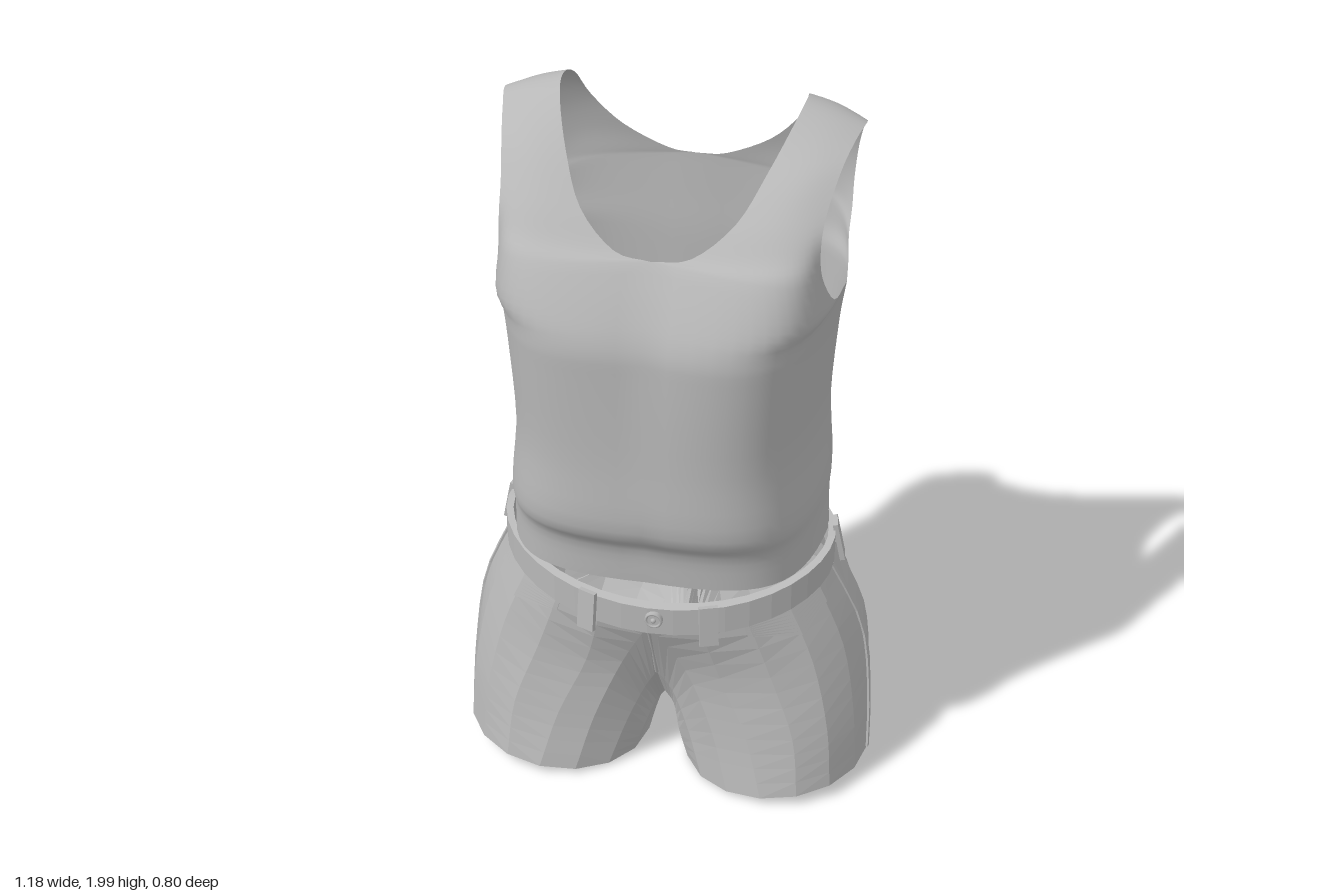
import * as THREE from 'three';
import { mergeGeometries, mergeVertices } from 'three/addons/utils/BufferGeometryUtils.js';

const V = (x, y, z) => new THREE.Vector3(x, y, z);
const cloth = new THREE.MeshStandardMaterial({ color: 0xb8b8b8, side: THREE.DoubleSide });
cloth.name = 'greyCloth';

// Skin a list of point rows; flip reverses the winding
function grid(rows, flip = false) {
  const n = rows[0].length, pos = [], idx = [];
  rows.forEach(r => r.forEach(p => pos.push(p.x, p.y, p.z)));
  for (let i = 0; i < rows.length - 1; i++) for (let j = 0; j < n - 1; j++) {
    const a = i * n + j, b = a + 1, c = a + n, d = c + 1;
    if (flip) idx.push(a, b, c, b, d, c); else idx.push(a, c, b, b, c, d);
  }
  const g = new THREE.BufferGeometry();
  g.setAttribute('position', new THREE.Float32BufferAttribute(pos, 3));
  g.setIndex(idx);
  return g;
}
const mirrorRows = rows => rows.map(r => r.map(p => V(-p.x, p.y, p.z)));
const bothSides = (rows, flip) => mergeGeometries([grid(rows, flip), grid(mirrorRows(rows), !flip)]);
function smooth(g) { const m = mergeVertices(g, 1e-4); m.computeVertexNormals(); return m; }
function flat(g) { const m = g.toNonIndexed(); m.computeVertexNormals(); return m; }
function add(parent, name, geo) {
  const m = new THREE.Mesh(geo, cloth);
  m.name = name;
  parent.add(m);
  return m;
}

// Tank top half: inner edge x y z, corner x z, outer edge x y z, from hem to shoulder
const frontRows = [
  [0, .76, .342, .41, .36, .435, .76, -.02], [0, .87, .352, .41, .37, .43, .87, -.02],
  [0, .955, .398, .41, .42, .43, .95, -.03], [0, 1.15, .388, .39, .42, .418, 1.15, -.04],
  [0, 1.4, .372, .4, .445, .435, 1.4, -.05], [0, 1.5, .36, .41, .45, .45, 1.52, -.06],
  [0, 1.6, .315, .42, .415, .44, 1.545, .08], [0, 1.7, .255, .39, .335, .42, 1.66, .17],
  [.1, 1.712, .24, .35, .26, .415, 1.75, .175], [.2, 1.79, .18, .33, .19, .42, 1.82, .13],
  [.26, 1.89, .08, .36, .09, .44, 1.9, .04], [.305, 1.975, -.04, .39, -.04, .46, 1.94, -.05],
];
// Over the shoulder and down the back
const backRows = [
  [.32, 2, -.13, .4, -.13, .475, 1.95, -.13],
  [.31, 1.97, -.21, .4, -.22, .46, 1.91, -.2], [.28, 1.88, -.265, .36, -.27, .44, 1.82, -.25],
  [.2, 1.79, -.29, .34, -.3, .43, 1.72, -.26], [.08, 1.728, -.3, .37, -.31, .43, 1.64, -.24],
  [0, 1.72, -.3, .39, -.32, .43, 1.58, -.2], [0, 1.6, -.295, .42, -.32, .44, 1.54, -.14],
  [0, 1.5, -.29, .42, -.32, .45, 1.52, -.06], [0, 1.4, -.29, .42, -.32, .435, 1.4, -.05],
  [0, 1.15, -.295, .41, -.32, .418, 1.15, -.04], [0, .93, -.31, .42, -.33, .43, .95, -.03],
  [0, .87, -.26, .41, -.28, .43, .87, -.02], [0, .76, -.21, .4, -.225, .435, .76, -.02],
];

// Smooth path through points, with a sharp turn allowed at each index in breaks
function samplePath(points, breaks, steps) {
  const ends = [0, ...breaks, points.length - 1], out = [points[0]];
  for (let k = 0; k < ends.length - 1; k++) {
    const part = points.slice(ends[k], ends[k + 1] + 1);
    const curve = new THREE.CatmullRomCurve3(part, false, 'catmullrom', .5), n = (part.length - 1) * steps;
    for (let i = 1; i <= n; i++) out.push(curve.getPoint(i / n));
  }
  return out;
}

function tankTopRows() {
  const all = [...frontRows, ...backRows];
  const inner = samplePath(all.map(r => V(r[0], r[1], r[2])), [7, 17], 4);
  const corner = samplePath(all.map(r => V(r[3], r[1] * .6 + r[6] * .4, r[4])), [], 4);
  const outer = samplePath(all.map(r => V(r[5], r[6], r[7])), [5, 19], 4);
  return inner.map((a, i) => new THREE.CubicBezierCurve3(
    a, a.clone().lerp(corner[i], .8), outer[i].clone().lerp(corner[i], .8), outer[i]).getPoints(14));
}

// Waist outline at angle phi (0 = front), h below the band top, pushed out by off
function waist(phi, h, off = 0) {
  const x = (.45 + off) * Math.sin(phi), z = .04 + (.28 + off) * Math.cos(phi);
  return V(x, .772 - (z > 0 ? .56 * z ** 1.5 : .16 * z) - h, z);
}

// Leg rings between waist and hem: front centre, round the outside, then the inner thigh
const hip = [
  [.09, .4, .25], [.19, .4, .264], [.33, .42, .255], [.44, .45, .205], [.51, .46, .12], [.545, .46, .01],
  [.53, .45, -.11], [.47, .46, -.23], [.37, .46, -.335], [.21, .46, -.392], [.08, .44, -.378],
  [.045, .35, -.345], [.03, .22, -.22], [.02, .13, -.02], [.025, .16, .11], [.04, .27, .19],
];
const thigh = [
  [.17, .2, .265], [.27, .21, .284], [.4, .22, .272], [.49, .23, .225], [.55, .24, .14], [.575, .24, .03],
  [.56, .24, -.07], [.49, .24, -.2], [.4, .24, -.285], [.28, .24, -.34], [.17, .22, -.32],
  [.1, .18, -.25], [.06, .13, -.13], [.04, .08, .02], [.05, .1, .15], [.09, .15, .21],
];
const crotch = [[0, .53, -.335], [0, .33, -.31], [0, .17, -.04], [0, .2, .11], [0, .35, .21]];

function hem(i, k = 1, lift = 0) {
  const a = (112.5 - 22.5 * i) * Math.PI / 180;
  return V(.32 + .262 * k * Math.cos(a), .033 + .025 * Math.cos(a) + lift, .06 + .26 * k * Math.sin(a));
}
const columns = hip.map((p, i) => new THREE.CatmullRomCurve3([
  i <= 10 ? waist(i * Math.PI / 10, .075) : V(...crotch[i - 11]), V(...p), V(...thigh[i]), hem(i)]));

// Point on the leg at column u and height v, pushed outward by off
function legPoint(u, v, off = 0) {
  const i = Math.floor(u), p = columns[i % 16].getPoint(v).lerp(columns[(i + 1) % 16].getPoint(v), u - i);
  return p.add(V(p.x - .25, 0, p.z - .03).setLength(off));
}
const range = (a, b, n) => Array.from({ length: n + 1 }, (_, i) => a + (b - a) * i / n);

// Raised cloth patch following the leg facets, with edges tucked into it
function patch(u0, u1, v0, v1, off, vMid = v1) {
  const folds = range(0, 16, 16).filter(u => u > u0 && u < u1);
  const us = [u0, u0, ...folds, (u0 + u1) / 2, u1, u1].sort((a, b) => a - b);
  const vs = [0, ...range(0, 1, 8), 1];
  return vs.map((t, i) => us.map((u, j) => {
    const edge = i === 0 || j === 0 || i === vs.length - 1 || j === us.length - 1;
    const s = 1 - Math.abs(2 * (u - u0) / (u1 - u0) - 1);
    return legPoint(u, v0 + t * (v1 + (vMid - v1) * s - v0), edge ? -.004 : off);
  }));
}

export function createModel() {
  const model = new THREE.Group();
  model.name = 'tankTopAndShorts';
  add(model, 'tankTop', smooth(bothSides(tankTopRows(), true)));

  // Shorts with a turned-in hem
  const shorts = new THREE.Group();
  shorts.name = 'shorts';
  model.add(shorts);
  const ring = range(0, 16, 16);
  const legRows = range(0, 1, 12).map(v => ring.map(u => legPoint(u, v)));
  legRows.push(ring.map(i => hem(i, .94)), ring.map(i => hem(i, .94, .05)));
  add(shorts, 'legs', flat(bothSides(legRows, true)));

  // Waistband
  const profile = [[0, .09], [.012, .085], [.012, 0], [-.008, 0], [-.008, .08]];
  const band = profile.map(([off, h]) => range(0, Math.PI * 2, 40).map(a => waist(a, h, off)));
  add(shorts, 'waistband', flat(grid(band)));

  // Pockets and seams
  add(shorts, 'backPockets', flat(bothSides(patch(7.1, 9.4, .2, .6, .008, .68), true)));
  add(shorts, 'frontPockets', flat(bothSides(patch(1.9, 4.2, .01, .08, .008, .17), true)));
  add(shorts, 'sideSeams', flat(bothSides(patch(4.9, 5.1, .02, .99, .006), true)));
  const fly = new THREE.CatmullRomCurve3([V(0, .59, .318), V(0, .48, .265), V(0, .35, .21)]);
  add(shorts, 'flySeam', new THREE.TubeGeometry(fly, 8, .006, 5));

  // Belt loops
  for (const deg of [-100, -21, 21, 100, 180]) {
    const a = deg * Math.PI / 180;
    const loop = add(shorts, 'beltLoop', new THREE.BoxGeometry(.052, .12, .014));
    loop.position.copy(waist(a, .045, .022));
    loop.rotation.set(Math.abs(deg) === 100 ? -.2 : -.1, a, 0, 'YXZ');
  }

  // Button
  const button = new THREE.Group();
  button.name = 'button';
  button.position.set(.02, .632, .334);
  add(button, 'buttonDisc', new THREE.CylinderGeometry(.025, .025, .012, 16).rotateX(Math.PI / 2));
  add(button, 'buttonRim', new THREE.TorusGeometry(.021, .004, 6, 16).translate(0, 0, .006));
  add(button, 'buttonStud', new THREE.SphereGeometry(.008, 8, 6).translate(0, 0, .006));
  shorts.add(button);
  return model;
}
